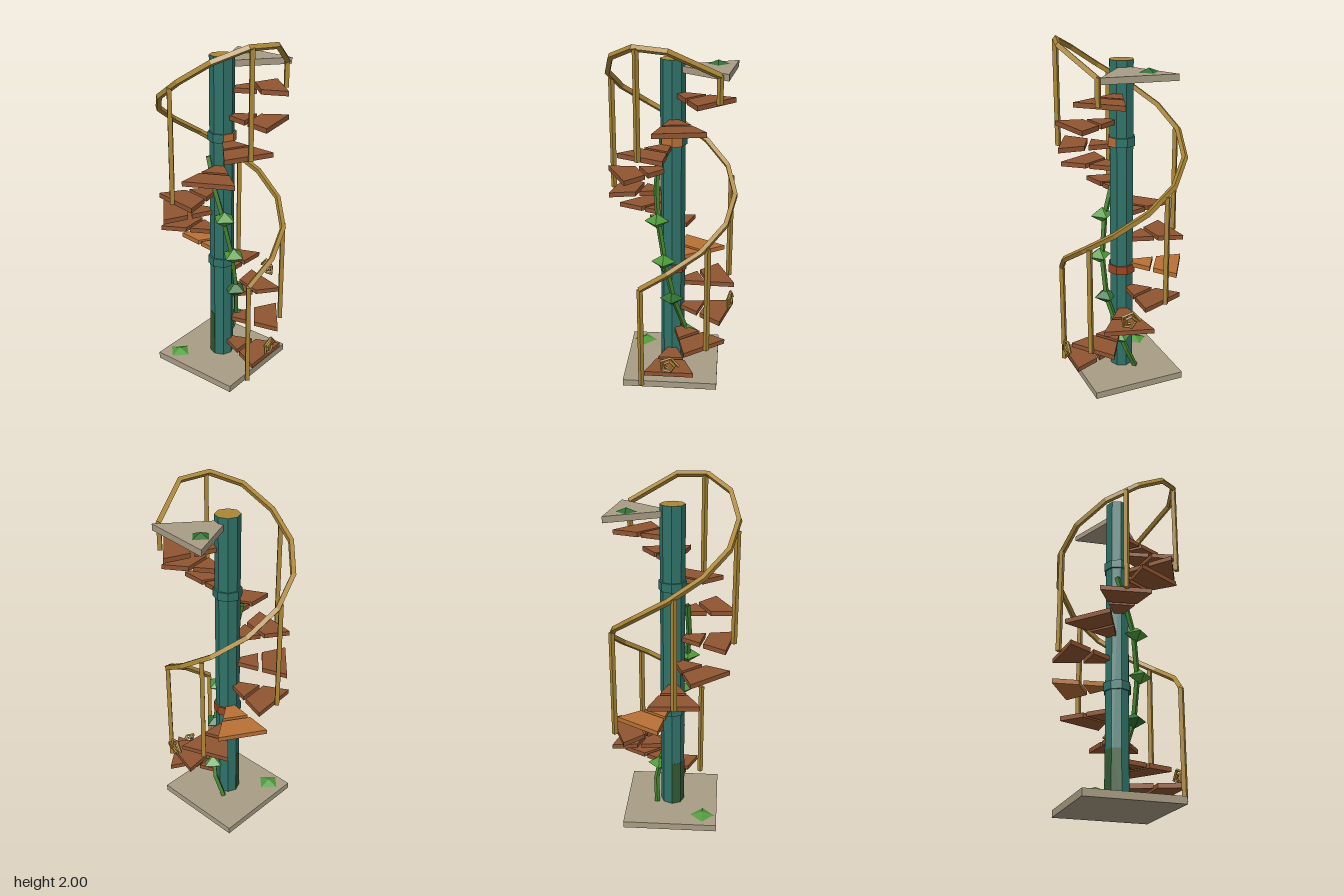
import * as THREE from 'three';

const paint = (name, color) => {
  const m = new THREE.MeshStandardMaterial({ color, flatShading: true });
  m.name = name;
  return m;
};
const DEG = Math.PI / 180;
const TURN = 37, RISE = 0.1418;      // angle and height from one tread to the next

// Point at an angle around the column, 0 = front, 90 = +x
const polar = (deg, r, y) => new THREE.Vector3(Math.sin(deg * DEG) * r, y, Math.cos(deg * DEG) * r);

// Flat wedge between two radii and a list of angles
function wedge(angles, rIn, rOut, y0, height) {
  const corners = [
    ...angles.map(a => polar(a, rOut, 0)),
    ...[...angles].reverse().map(a => polar(a, rIn, 0)),
  ];
  const shape = new THREE.Shape(corners.map(p => new THREE.Vector2(p.x, -p.z)));
  const geo = new THREE.ExtrudeGeometry(shape, { depth: height, bevelEnabled: false });
  return geo.rotateX(-Math.PI / 2).translate(0, y0, 0);
}

// Curve that runs straight from point to point
class Polyline extends THREE.Curve {
  constructor(points) { super(); this.points = points; }
  getPoint(t, target = new THREE.Vector3()) {
    const n = this.points.length - 1;
    const f = Math.min(Math.max(t, 0), 1) * n;
    const i = Math.min(Math.floor(f), n - 1);
    return target.lerpVectors(this.points[i], this.points[i + 1], f - i);
  }
  getPointAt(u, target) { return this.getPoint(u, target); }
  getTangentAt(u, target) { return this.getTangent(u, target); }
}
const bar = (points, radius, sides = 4) =>
  new THREE.TubeGeometry(new Polyline(points), points.length - 1, radius, sides);

export function createModel() {
  const model = new THREE.Group();
  model.name = 'spiralStaircase';
  const stone = paint('stone', 0xa89c84);
  const teal = paint('teal', 0x2f7268);
  const brown = paint('brown', 0x8f5430);
  const orange = paint('orange', 0xb87035);
  const rust = paint('rust', 0x9a4522);
  const brass = paint('brass', 0xaa8636);
  brass.side = THREE.DoubleSide;
  const leafGreen = paint('leafGreen', 0x4f9a3a);
  const darkGreen = paint('darkGreen', 0x2f7034);
  const vineGreen = paint('vineGreen', 0x44822f);
  vineGreen.side = THREE.DoubleSide;
  const moss = paint('moss', 0x2f5a32);

  const add = (name, geo, material) => {
    const mesh = new THREE.Mesh(geo, material);
    mesh.name = name;
    model.add(mesh);
    return mesh;
  };

  // Base slab and column with a brass top
  add('base', new THREE.BoxGeometry(0.55, 0.04, 0.55).translate(0, 0.02, 0), stone);
  add('column', new THREE.CylinderGeometry(0.07, 0.07, 1.84, 8).translate(0, 0.96, 0), [teal, brass, teal]);
  add('columnMoss', wedge([180, 225, 270], 0.065, 0.0715, 0.04, 0.28), moss);

  // Column collars, each with a weathered patch
  const collars = [
    { y: 0.65, material: rust, angles: [0, 45, 90, 135] },
    { y: 1.41, material: orange, angles: [-45, 0, 45] },
  ];
  for (const { y, material, angles } of collars) {
    add('collar', new THREE.CylinderGeometry(0.079, 0.079, 0.05, 8).translate(0, y + 0.025, 0), teal);
    add('collarPatch', wedge(angles, 0.075, 0.081, y - 0.001, 0.052), material);
  }

  // Twelve treads, each an inner and an outer board
  for (let i = 0; i < 12; i++) {
    const a = i * TURN, y = 0.117 + i * RISE;
    const material = i === 4 ? orange : brown;
    add('innerTread', wedge([a - 23, a + 23], 0.06, 0.19, y, 0.027), material);
    add('outerTread', wedge([a - 23, a + 23], 0.213, 0.363, y, 0.027), material);
  }

  // Landing
  add('landing', wedge([83 - 32, 83 + 32], 0.055, 0.387, 1.81, 0.035), stone);

  // Handrail, level at the top and falling to the landing
  const rail = [polar(-27, 0.352, 0.66)];
  for (let a = 0; a <= 300; a += 30) rail.push(polar(a, 0.352, 1.12 + (a - 90) * 0.00378));
  rail.push(polar(330, 0.352, 1.98), polar(360, 0.352, 1.97), polar(407, 0.355, 1.835));
  add('handrail', bar(rail, 0.018), brass);

  // Posts: angle, foot and head
  const posts = [
    [-27, 0.04, 0.66],
    ...[1, 3, 5, 7].map(i => [i * TURN, 0.13 + i * RISE, 0.765 + i * RISE]),
    [9 * TURN, 1.4, 1.98],
    [11 * TURN, 1.69, 1.84],
  ];
  for (const [a, y0, y1] of posts) {
    const p = polar(a, 0.352, (y0 + y1) / 2);
    const post = add('railPost', new THREE.CylinderGeometry(0.017, 0.017, y1 - y0, 4), brass);
    post.position.copy(p);
  }

  // Angular scrolls on the outer edge of two treads
  for (const i of [0, 2]) {
    const points = [];
    for (let k = 0; k <= 9; k++) {
      const r = 0.06 - k * 0.005, t = k * 72 * DEG;
      points.push(new THREE.Vector3(Math.cos(t) * r, Math.sin(t) * r, 0));
    }
    const scroll = add('scroll', bar(points, 0.009), brass);
    scroll.position.copy(polar(i * TURN, 0.352, 0.2 + i * 0.148));
    scroll.rotation.y = i * TURN * DEG;
  }

  // Vine climbing round the column
  const vine = [
    [0.09, 0.04, -0.05], [0.1, 0.17, 0.01], [0.075, 0.29, 0.05], [0.01, 0.5, 0.1],
    [-0.04, 0.74, 0.105], [-0.08, 0.98, 0.07], [-0.092, 1.15, 0.02], [-0.085, 1.33, -0.03],
  ].map(p => new THREE.Vector3(...p));
  add('vine', bar(vine, 0.016), vineGreen);

  // Leaves: position, half width, half height
  const leaves = [
    [0.085, 0.26, 0.045, 0.07, 0.045, leafGreen],
    [0, 0.5, 0.1, 0.07, 0.045, darkGreen],
    [-0.045, 0.745, 0.12, 0.07, 0.045, leafGreen],
    [-0.085, 0.98, 0.085, 0.07, 0.045, leafGreen],
    [-0.19, 0.045, -0.18, 0.068, 0.024, leafGreen],
    [0.24, 1.845, -0.047, 0.057, 0.022, darkGreen],
  ];
  for (const [x, y, z, w, h, material] of leaves) {
    const leaf = add('leaf', new THREE.OctahedronGeometry(1), material);
    leaf.position.set(x, y, z);
    leaf.scale.set(w, h, w);
  }
  return model;
}
